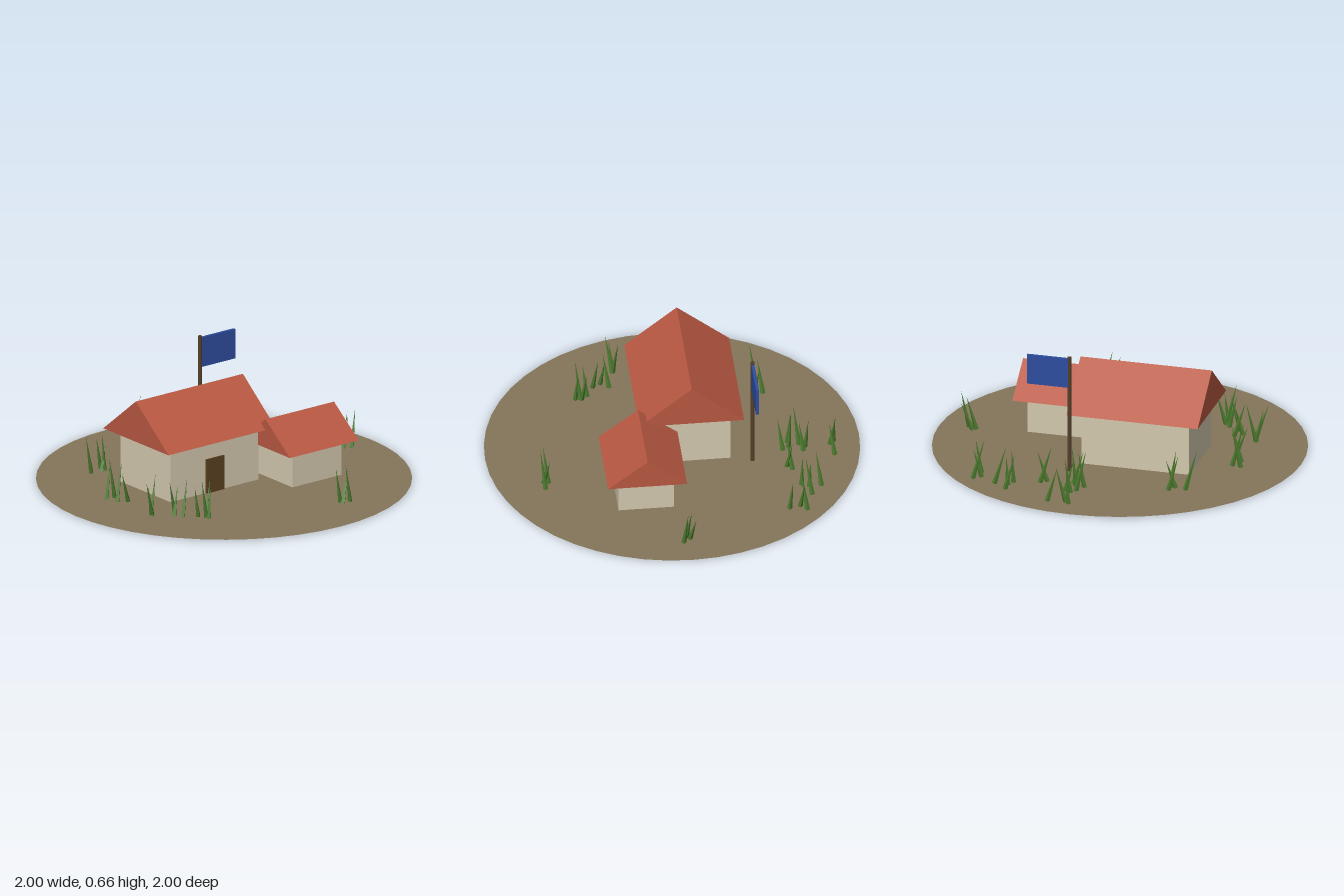
import * as THREE from 'three';

const mat = (name, color, extra = {}) => {
  const m = new THREE.MeshStandardMaterial({ color, ...extra });
  m.name = name;
  return m;
};

export function createModel() {
  const model = new THREE.Group();
  model.name = 'cottageScene';

  const earth = mat('earth', 0x85745a, { side: THREE.DoubleSide });
  const plaster = mat('plaster', 0xd2c8ae);
  const tile = mat('roofTile', 0xb85842);
  const doorWood = mat('doorWood', 0x5a4020);
  const poleWood = mat('poleWood', 0x54402a);
  const cloth = mat('flagBlue', 0x2d4d9e);
  const grass = mat('grassGreen', 0x4c7a2e, { flatShading: true });

  const add = (parent, name, geometry, material, x = 0, y = 0, z = 0) => {
    const mesh = new THREE.Mesh(geometry, material);
    mesh.name = name;
    mesh.position.set(x, y, z);
    parent.add(mesh);
    return mesh;
  };
  // Box given by its minimum and maximum corners
  const box = (parent, name, material, x0, x1, y0, y1, z0, z1) =>
    add(parent, name, new THREE.BoxGeometry(x1 - x0, y1 - y0, z1 - z0), material,
      (x0 + x1) / 2, (y0 + y1) / 2, (z0 + z1) / 2);

  // Ground disc
  const floor = 0.01;
  add(model, 'ground', new THREE.CircleGeometry(1, 48).rotateX(-Math.PI / 2), earth, 0, floor, 0);

  // Walls with an overhanging gable roof, ridge along x
  const house = (name, cx, cz, wallW, wallD, roofW, roofD, eave, ridge) => {
    const g = new THREE.Group();
    g.name = name;
    box(g, 'walls', plaster, cx - wallW / 2, cx + wallW / 2, floor - 0.004, eave, cz - wallD / 2, cz + wallD / 2);
    const gable = new THREE.Shape();
    gable.moveTo(-roofD / 2, 0);
    gable.lineTo(roofD / 2, 0);
    gable.lineTo(0, ridge - eave);
    gable.closePath();
    const roof = new THREE.ExtrudeGeometry(gable, { depth: roofW, bevelEnabled: false });
    roof.translate(0, 0, -roofW / 2).rotateY(Math.PI / 2);
    add(g, 'roof', roof, tile, cx, eave, cz);
    model.add(g);
    return g;
  };
  const main = house('mainHouse', -0.168, -0.084, 0.596, 0.43, 0.725, 0.56, 0.305, 0.532);
  house('annex', 0.358, 0.196, 0.332, 0.296, 0.464, 0.422, 0.206, 0.367);
  box(main, 'door', doorWood, -0.227, -0.107, floor - 0.002, 0.2, 0.125, 0.141);

  // Flagpole and flag
  const flagpole = new THREE.Group();
  flagpole.name = 'flagpole';
  add(flagpole, 'pole', new THREE.CylinderGeometry(0.011, 0.011, 0.655, 8), poleWood, 0.163, 0.335, -0.413);
  box(flagpole, 'flag', cloth, 0.17, 0.396, 0.488, 0.653, -0.421, -0.405);
  model.add(flagpole);

  // Grass blades: x, z of the blade's middle and its sideways lean
  const blades = [
    [0.05, -0.86, 0.01], [0.09, -0.85, 0.05], [0.14, -0.84, -0.05],
    [0.03, -0.66, -0.05], [0.09, -0.71, 0.03], [0.09, -0.68, -0.04],
    [0.04, -0.62, 0.03], [0.07, -0.57, -0.05], [0.08, -0.62, 0.02],
    [0.40, -0.74, -0.05], [0.43, -0.69, 0.01], [0.47, -0.68, -0.06], [0.41, -0.65, 0.01],
    [0.60, -0.64, -0.06], [0.62, -0.57, 0.03], [0.61, -0.63, 0.04],
    [0.24, -0.60, -0.06], [0.26, -0.60, 0.05],
    [-0.53, -0.49, -0.06], [-0.44, -0.52, -0.05], [-0.42, -0.50, 0.05], [-0.43, -0.49, -0.03],
    [-0.68, -0.13, 0.04], [-0.68, -0.10, -0.06], [-0.66, -0.06, 0.05], [-0.67, 0.0, -0.07],
    [-0.71, 0.26, -0.07], [-0.70, 0.25, -0.04], [-0.66, 0.23, 0.05],
    [-0.58, 0.29, -0.06], [-0.57, 0.31, 0.04], [-0.54, 0.35, 0.05],
    [-0.51, 0.41, -0.04], [-0.49, 0.45, -0.05], [-0.44, 0.42, 0.05], [-0.46, 0.46, 0.02],
    [0.22, 0.70, -0.05], [0.27, 0.70, 0.06], [0.27, 0.72, -0.05],
    [0.82, 0.0, 0.05], [0.84, -0.02, 0.06], [0.86, 0.02, 0.04],
  ];
  const tufts = new THREE.Group();
  tufts.name = 'grassTufts';
  const up = new THREE.Vector3(0, 1, 0);
  blades.forEach(([x, z, lean], i) => {
    const h = 0.17 + 0.015 * ((i * 3) % 5) + (x < -0.6 && z < 0.1 ? 0.02 : 0);
    const blade = add(tufts, 'blade', new THREE.ConeGeometry(0.014, h, 4), grass, x, floor - 0.004 + h / 2, z);
    const dir = new THREE.Vector3(lean, h, -0.5 * lean).normalize();
    blade.quaternion.setFromUnitVectors(up, dir);
  });
  model.add(tufts);

  return model;
}
